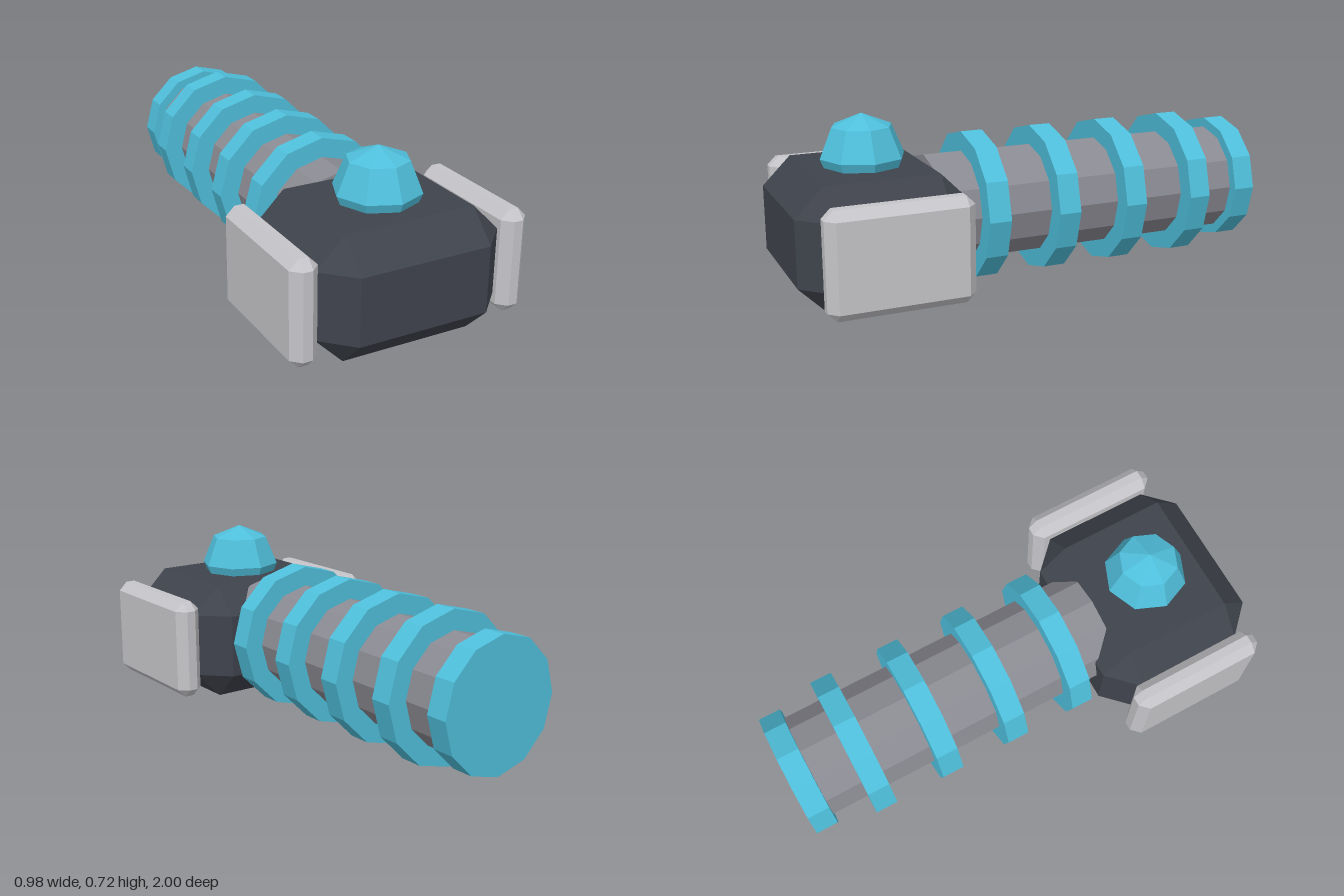
import * as THREE from 'three';
import { ConvexGeometry } from 'three/addons/geometries/ConvexGeometry.js';

function mat(name, color) {
  const m = new THREE.MeshStandardMaterial({ color, flatShading: true });
  m.name = name;
  return m;
}

// Box with every edge cut by a single flat bevel
function bevelBox(w, h, d, c) {
  const pts = [];
  for (const sx of [-1, 1]) for (const sy of [-1, 1]) for (const sz of [-1, 1]) {
    for (let axis = 0; axis < 3; axis++) {
      const p = [w / 2 - c, h / 2 - c, d / 2 - c];
      p[axis] += c;
      pts.push(new THREE.Vector3(sx * p[0], sy * p[1], sz * p[2]));
    }
  }
  return new ConvexGeometry(pts);
}

export function createModel() {
  const group = new THREE.Group();
  const teal = mat('teal', 0x4fbfdb);
  const charcoal = mat('charcoal', 0x3f434c);
  const grey = mat('grey', 0x8b8b93);
  const silver = mat('silver', 0xc5c5c9);

  const add = (name, geometry, material, x, y, z) => {
    const mesh = new THREE.Mesh(geometry, material);
    mesh.name = name;
    mesh.position.set(x, y, z);
    group.add(mesh);
  };
  const axisY = 0.305;
  // Twelve-sided cylinder lying along z
  const rod = (name, radius, zBack, zFront, material) => add(name,
    new THREE.CylinderGeometry(radius, radius, zFront - zBack, 12).rotateX(Math.PI / 2),
    material, 0, axisY, (zBack + zFront) / 2);

  // Handle with grip rings and end cap
  rod('handleShaft', 0.225, -0.95, 0.41, grey);
  for (let i = 0; i < 4; i++) {
    const z = 0.203 - i * 0.303;
    rod('gripRing' + (i + 1), 0.305, z - 0.046, z + 0.046, teal);
  }
  rod('pommel', 0.265, -1, -0.908, teal);

  // Head block
  add('head', bevelBox(0.76, 0.493, 0.68, 0.114), charcoal, 0, 0.2685, 0.66);

  // Side plates
  for (const s of [1, -1]) {
    add(s > 0 ? 'leftPlate' : 'rightPlate', bevelBox(0.11, 0.415, 0.57, 0.036),
      silver, s * 0.435, 0.2675, 0.655);
  }

  // Faceted gem on top
  add('gem', new THREE.SphereGeometry(0.17, 8, 4), teal, 0, 0.55, 0.66);

  return group;
}
